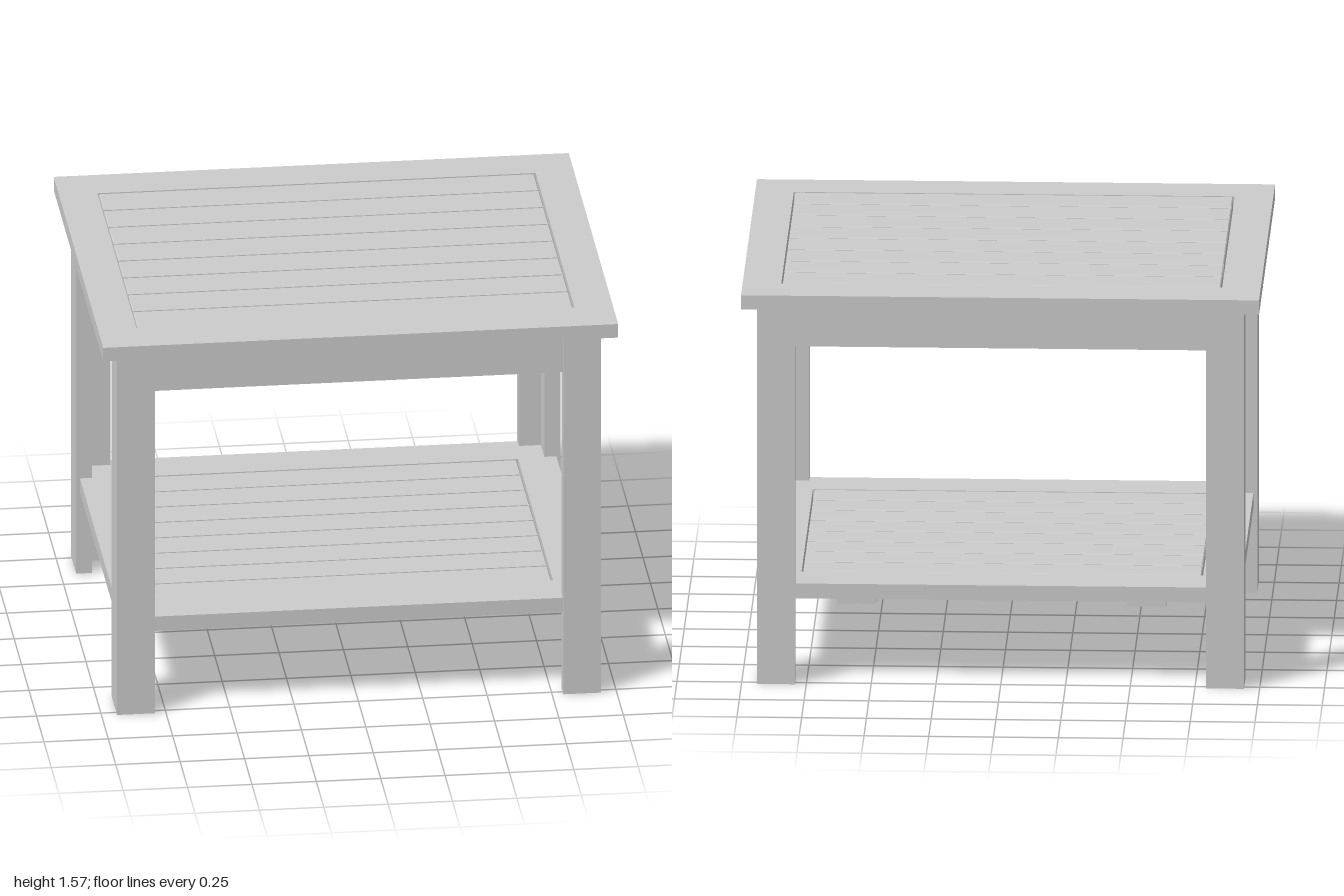
import * as THREE from 'three';

const material = new THREE.MeshStandardMaterial({ color: 0xcccccc, flatShading: true });

function add(parent, name, geometry, x = 0, y = 0, z = 0) {
  const mesh = new THREE.Mesh(geometry, material);
  mesh.name = name;
  mesh.position.set(x, y, z);
  parent.add(mesh);
  return mesh;
}

const rect = (Type, hw, hd) => new Type([
  [-hw, -hd], [hw, -hd], [hw, hd], [-hw, hd],
].map(([x, y]) => new THREE.Vector2(x, y)));

// Extrude a plan outline upwards
function slab(shape, height) {
  return new THREE.ExtrudeGeometry(shape, { depth: height, bevelEnabled: false }).rotateX(-Math.PI / 2);
}

// Board with softly eased long edges, running along x
function slatGeometry(length, height, width) {
  const e = 0.004;
  const shape = rect(THREE.Shape, length / 2 - e, width / 2 - e);
  return new THREE.ExtrudeGeometry(shape, {
    depth: height - 2 * e, bevelEnabled: true, bevelThickness: e, bevelSize: e, bevelSegments: 1,
  }).rotateX(-Math.PI / 2).translate(0, e, 0);
}

// Frame with an opening filled by slats, carried by two cleats underneath
function slattedPanel(name, { hw, hd, openW, openD, bottom, height, cleatHalf }) {
  const group = new THREE.Group();
  group.name = name;
  const outline = rect(THREE.Shape, hw, hd);
  outline.holes.push(rect(THREE.Path, openW, openD));
  add(group, name + 'Frame', slab(outline, height), 0, bottom, 0);

  const count = 8, gap = 0.013, clearance = 0.006;
  const span = 2 * (openD - clearance);
  const width = (span - gap * (count - 1)) / count;
  const slat = slatGeometry(2 * (openW - clearance), height, width);
  for (let i = 0; i < count; i++) {
    add(group, name + 'Slat', slat, 0, bottom, -span / 2 + width / 2 + i * (width + gap));
  }
  for (const s of [-1, 1]) {
    add(group, name + 'Cleat', new THREE.BoxGeometry(0.15, 0.06, 2 * cleatHalf), s * 0.56, bottom - 0.03, 0);
  }
  return group;
}

export function createModel() {
  const model = new THREE.Group();
  model.name = 'slattedSideTable';

  model.add(slattedPanel('top', {
    hw: 1, hd: 0.83, openW: 0.851, openD: 0.653, bottom: 1.515, height: 0.057, cleatHalf: 0.7,
  }));
  model.add(slattedPanel('shelf', {
    hw: 0.925, hd: 0.76, openW: 0.775, openD: 0.588, bottom: 0.34, height: 0.06, cleatHalf: 0.613,
  }));

  // L-section corner legs, open towards the middle
  const outerX = 0.94, outerZ = 0.775, innerX = 0.793, innerZ = 0.597, t = 0.062;
  for (const sx of [-1, 1]) {
    for (const sz of [-1, 1]) {
      const section = new THREE.Shape([
        [outerX, outerZ], [innerX, outerZ], [innerX, outerZ - t],
        [outerX - t, outerZ - t], [outerX - t, innerZ], [outerX, innerZ],
      ].map(([x, z]) => new THREE.Vector2(sx * x, -sz * z)));
      add(model, (sz > 0 ? 'front' : 'back') + (sx > 0 ? 'Left' : 'Right') + 'Leg', slab(section, 1.515));
    }
  }

  // Aprons under the top, set slightly back from the leg faces
  const apronY = 1.4325, apronH = 0.165;
  for (const s of [-1, 1]) {
    add(model, s > 0 ? 'frontApron' : 'backApron',
      new THREE.BoxGeometry(2 * innerX, apronH, 0.06), 0, apronY, s * 0.73);
    add(model, s > 0 ? 'leftApron' : 'rightApron',
      new THREE.BoxGeometry(0.06, apronH, 2 * innerZ - 0.008), s * 0.895, apronY, 0);
  }
  return model;
}
